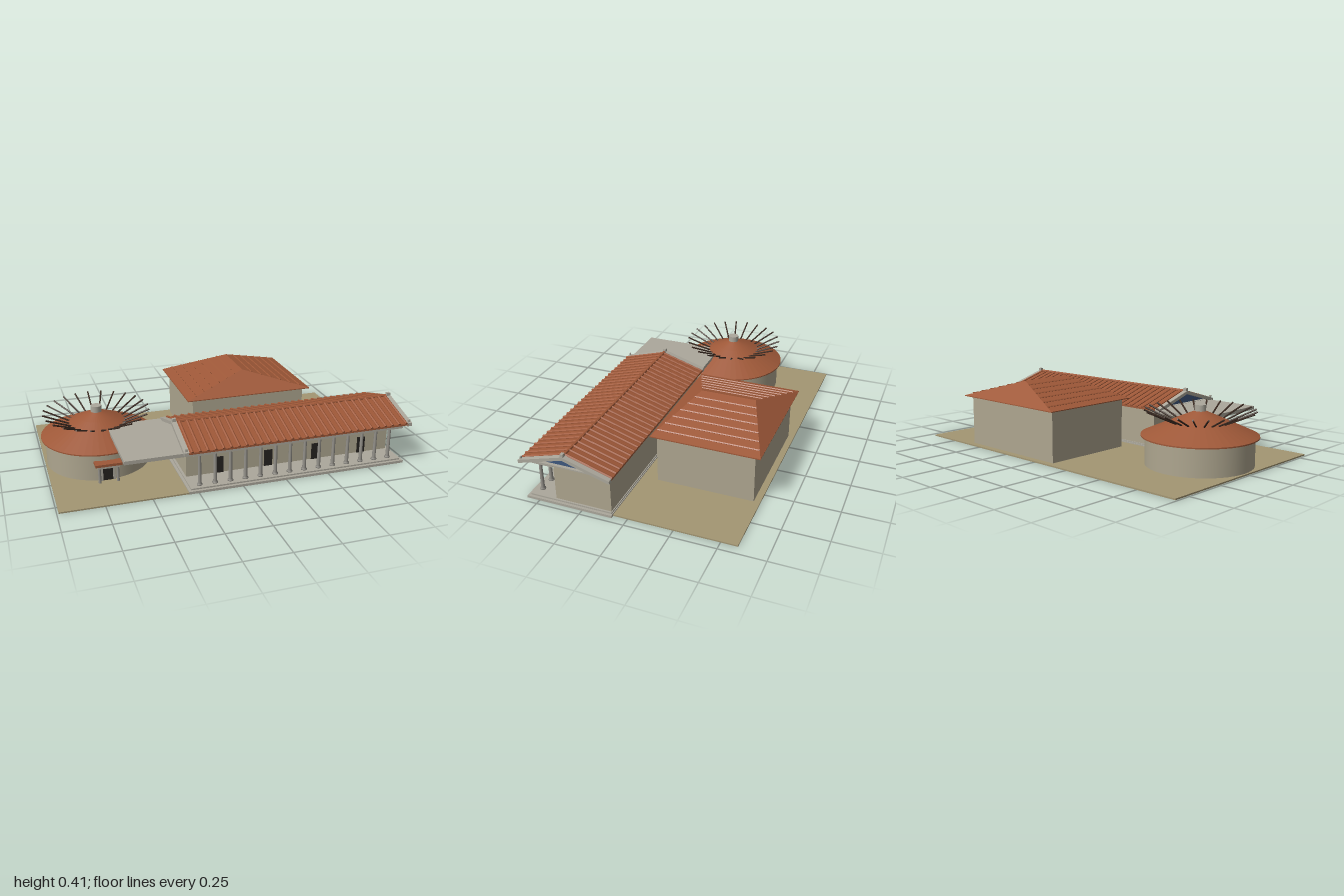
import * as THREE from 'three';

const mat = (color, flatShading = false) => new THREE.MeshStandardMaterial({ color, flatShading });
const M = {
  ground: mat(0xa39673), wall: mat(0xaea68f), tile: mat(0x9e5838, true), stone: mat(0xaca89c),
  column: mat(0x94918a), dark: mat(0x26221f), wood: mat(0x3c2b22), blue: mat(0x40597f),
};
const V = (x, y, z) => new THREE.Vector3(x, y, z);

function add(parent, name, geo, material) {
  const mesh = new THREE.Mesh(geo, material);
  mesh.name = name;
  parent.add(mesh);
  return mesh;
}

// Box given by its limits on each axis
function box(parent, name, material, x0, x1, y0, y1, z0, z1) {
  const geo = new THREE.BoxGeometry(x1 - x0, y1 - y0, z1 - z0);
  geo.translate((x0 + x1) / 2, (y0 + y1) / 2, (z0 + z1) / 2);
  return add(parent, name, geo, material);
}

// Round bar between two points
function rod(parent, name, material, a, b, r, sides = 6) {
  const dir = b.clone().sub(a);
  const mesh = add(parent, name, new THREE.CylinderGeometry(r, r, dir.length(), sides), material);
  mesh.position.copy(a).add(b).multiplyScalar(0.5);
  mesh.quaternion.setFromUnitVectors(V(0, 1, 0), dir.normalize());
  return mesh;
}

// Prism along x from a [z, y] outline
function prism(parent, name, material, pts, x0, x1) {
  const shape = new THREE.Shape(pts.map(p => new THREE.Vector2(p[0], p[1])));
  const geo = new THREE.ExtrudeGeometry(shape, { depth: x1 - x0, bevelEnabled: false });
  geo.rotateY(-Math.PI / 2).translate(x1, 0, 0);
  return add(parent, name, geo, material);
}

function roundHouse() {
  const g = new THREE.Group();
  g.name = 'roundHouse';
  const wall = add(g, 'roundWall', new THREE.CylinderGeometry(0.295, 0.295, 0.165, 48), M.wall);
  wall.position.y = 0.0825;
  const roofLine = [[0, 0.163], [0.318, 0.163], [0.318, 0.17], [0.1, 0.268], [0.03, 0.298], [0, 0.3]];
  add(g, 'conicalRoof', new THREE.LatheGeometry(roofLine.map(p => new THREE.Vector2(...p)), 48), M.tile);
  const cap = add(g, 'roofCap', new THREE.CylinderGeometry(0.031, 0.031, 0.045, 16), M.stone);
  cap.position.y = 0.31;
  // Ring of rafters splayed outwards
  for (let i = 0; i < 24; i++) {
    const a = i * Math.PI / 12, s = Math.sin(a), c = Math.cos(a);
    rod(g, 'rafter', M.wood, V(0.15 * s, 0.238, 0.15 * c), V(0.3 * s, 0.304, 0.3 * c), 0.0048);
  }
  // Small porch
  box(g, 'porchDoor', M.dark, -0.027, 0.027, 0.008, 0.092, 0.26, 0.3);
  box(g, 'porchLintel', M.stone, -0.06, 0.06, 0.095, 0.11, 0.26, 0.338);
  box(g, 'porchRoof', M.tile, -0.073, 0.073, 0.11, 0.124, 0.25, 0.347);
  for (const s of [-1, 1]) {
    rod(g, 'porchPost', M.column, V(s * 0.05, 0, 0.325), V(s * 0.05, 0.1, 0.325), 0.008, 10);
    box(g, 'doorJamb', M.stone, s * 0.034 - 0.007, s * 0.034 + 0.007, 0, 0.1, 0.26, 0.303);
  }
  g.position.set(-0.685, 0, -0.01);
  return g;
}

function hippedHouse() {
  const g = new THREE.Group();
  g.name = 'hippedHouse';
  box(g, 'houseWalls', M.wall, -0.115, 0.585, 0, 0.3, -0.555, -0.01);
  // Hipped roof: a box whose top is gathered into a ridge
  const geo = new THREE.BoxGeometry(0.77, 0.11, 0.605).toNonIndexed();
  const p = geo.attributes.position;
  for (let i = 0; i < p.count; i++) {
    if (p.getY(i) > 0) p.setXYZ(i, 0, 0.055, p.getZ(i) > 0 ? 0.155 : -0.155);
  }
  geo.computeVertexNormals();
  add(g, 'hippedRoof', geo, M.tile).position.set(0.235, 0.354, -0.288);
  box(g, 'roofEdge', M.tile, -0.15, 0.62, 0.295, 0.3, -0.59, 0.015);
  // Battens parallel to the ridge on both long slopes
  for (let i = 1; i < 7; i++) {
    const t = i / 7, dx = 0.385 * (1 - t), dz = 0.3025 - 0.1475 * t, y = 0.3 + 0.109 * t;
    for (const s of [-1, 1]) {
      rod(g, 'roofBatten', M.tile, V(0.235 + s * dx, y, -0.288 - dz), V(0.235 + s * dx, y, -0.288 + dz), 0.0045, 4);
    }
  }
  return g;
}

function colonnadeHall() {
  const g = new THREE.Group();
  g.name = 'colonnadeHall';
  box(g, 'lowerStep', M.stone, -0.305, 0.97, 0, 0.014, 0.08, 0.572);
  box(g, 'upperStep', M.stone, -0.29, 0.955, 0.014, 0.022, 0.085, 0.555);
  box(g, 'hallWalls', M.wall, -0.277, 0.945, 0, 0.238, 0.09, 0.41);
  box(g, 'architrave', M.stone, -0.28, 0.95, 0.216, 0.241, 0.41, 0.568);
  for (let i = 0; i < 4; i++) {
    const x = -0.088 + i * 0.289;
    box(g, 'hallDoor', M.dark, x - 0.024, x + 0.024, 0.022, 0.118, 0.4, 0.416);
  }

  // Row of columns, base to capital in one profile
  const profile = [[0, 0], [0.016, 0], [0.016, 0.007], [0.0105, 0.013], [0.0085, 0.178],
    [0.015, 0.188], [0.015, 0.196], [0, 0.196]].map(q => new THREE.Vector2(...q));
  const colGeo = new THREE.LatheGeometry(profile, 12);
  for (let i = 0; i < 14; i++) {
    add(g, 'column', colGeo, M.column).position.set(-0.233 + i * 0.0868, 0.021, 0.52);
  }

  // Gabled roof, gables and sloping cornices
  const front = [0.585, 0.247], ridge = [0.327, 0.322], back = [0.067, 0.242];
  const band = t => [front, ridge, back, [back[0], back[1] - t], [ridge[0], ridge[1] - t], [front[0], front[1] - t]];
  prism(g, 'gable', M.blue, [[0.56, 0.241], [0.327, 0.312], [0.095, 0.236]], -0.278, 0.948);
  prism(g, 'roof', M.tile, band(0.01), -0.31, 0.975);
  for (const [x0, x1] of [[-0.334, -0.305], [0.967, 0.996]]) {
    const lift = band(0.019).map(q => [q[0], q[1] + 0.003]);
    prism(g, 'slopingCornice', M.stone, lift, x0, x1);
    box(g, 'ridgeOrnament', M.stone, x0 + 0.004, x1 - 0.004, 0.318, 0.34, 0.318, 0.336);
    box(g, 'eaveOrnament', M.stone, x0 + 0.008, x1 - 0.008, 0.245, 0.267, 0.57, 0.577);
  }
  for (const [x0, x1] of [[-0.3, -0.277], [0.945, 0.965]]) {
    box(g, 'gableSill', M.stone, x0, x1, 0.235, 0.242, 0.085, 0.57);
  }
  // Cover tiles running down both slopes
  for (let i = 0; i < 30; i++) {
    const x = -0.29 + i * 0.0431;
    for (const e of [front, back]) {
      rod(g, 'coverTile', M.tile, V(x, ridge[1], ridge[0]), V(x, e[1], e[0]), 0.0085, 6);
    }
  }
  rod(g, 'ridgeTile', M.tile, V(-0.305, 0.322, 0.327), V(0.967, 0.322, 0.327), 0.009, 8);
  // Flat canopy reaching towards the round house
  box(g, 'flatCanopy', M.stone, -0.645, -0.277, 0.221, 0.241, 0.075, 0.568);
  return g;
}

export function createModel() {
  const model = new THREE.Group();
  model.name = 'buildingComplex';
  box(model, 'ground', M.ground, -0.99, 0.95, 0, 0.008, -0.59, 0.568);
  model.add(roundHouse(), hippedHouse(), colonnadeHall());
  return model;
}
